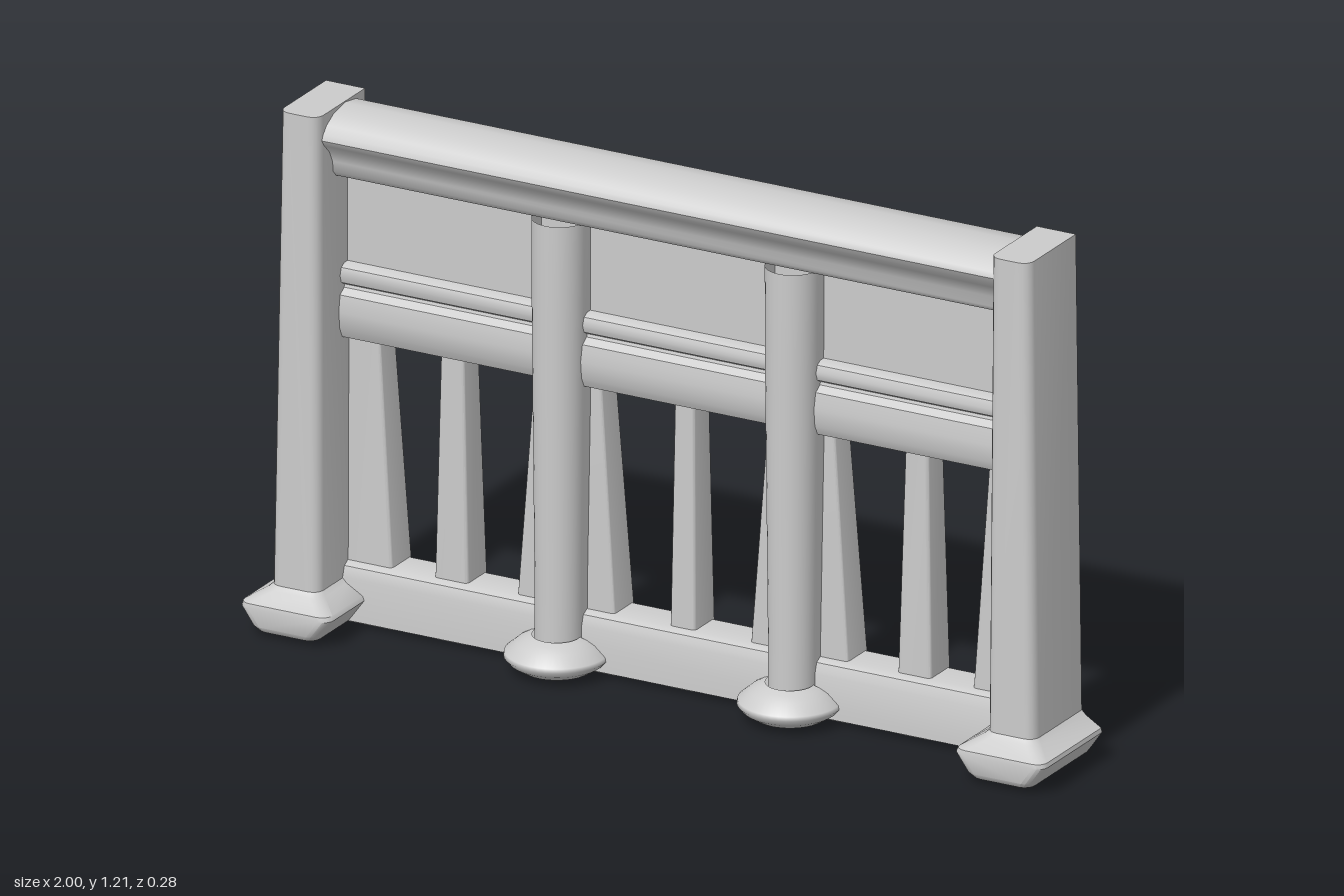
import * as THREE from 'three';
import { toCreasedNormals } from 'three/addons/utils/BufferGeometryUtils.js';

const material = new THREE.MeshStandardMaterial({ color: 0xcccccc, side: THREE.DoubleSide });

// Open skin through rows of [x, y, z] points
function skin(name, rows) {
  const n = rows[0].length, index = [];
  for (let i = 0; i < rows.length - 1; i++) {
    for (let j = 0; j < n - 1; j++) {
      const a = i * n + j, b = a + n;
      index.push(a, a + 1, b, a + 1, b + 1, b);
    }
  }
  const g = new THREE.BufferGeometry();
  g.setAttribute('position', new THREE.Float32BufferAttribute(rows.flat(2), 3));
  g.setIndex(index);
  const mesh = new THREE.Mesh(toCreasedNormals(g, 0.7), material);
  mesh.name = name;
  return mesh;
}

// Horizontal moulding: a [z, y] profile run along x
function moulding(name, profile, half) {
  return skin(name, [half, -half].map(x => profile.map(([z, y]) => [x, y, z])));
}

// U-shaped section, open at the back, with rounded front corners
function channel(y, x0, x1, front, back, r, innerBack = back) {
  const pts = [[x1, y, back]];
  for (let i = 0; i <= 4; i++) {
    const a = i * Math.PI / 8;
    pts.push([x1 - r + r * Math.cos(a), y, front - r + r * Math.sin(a)]);
  }
  for (let i = 0; i <= 4; i++) {
    const a = Math.PI / 2 + i * Math.PI / 8;
    pts.push([x0 + r + r * Math.cos(a), y, front - r + r * Math.sin(a)]);
  }
  pts.push([x0, y, innerBack]);
  return pts;
}

function createPost() {
  const post = new THREE.Group();
  post.name = 'endPost';
  // Tapered shaft, closed on top
  const top = channel(1.21, 0.835, 0.932, 0.08, -0.13, 0.025);
  post.add(skin('postShaft', [
    channel(0.08, 0.83, 0.95, 0.088, -0.125, 0.025),
    top,
  ]));
  const half = top.length / 2;
  post.add(skin('postCap', [top.slice(0, half), top.slice(half).reverse()]));
  // Flared foot, its inner flank stopping at the bottom rail
  post.add(skin('postFoot', [
    [0.108, 0.83, 0.95, 0.088],
    [0.098, 0.82, 0.96, 0.098],
    [0.075, 0.78, 0.998, 0.138],
    [0.065, 0.776, 1.0, 0.14],
    [0.025, 0.805, 0.972, 0.14],
    [0.012, 0.815, 0.962, 0.13],
    [0.01, 0.83, 0.945, 0.11],
  ].map(([y, a, b, f]) => channel(y, a, b, f, -0.125, 0.025, -0.03))));
  return post;
}

function createColumn() {
  const column = new THREE.Group();
  column.name = 'roundColumn';
  // Half-round shaft with straight sides running back
  column.add(skin('columnShaft', [[0.03, 0.054], [0.2, 0.054], [0.8, 0.06], [1.052, 0.061]].map(([y, r]) => {
    const row = [[r, y, -0.07]];
    for (let i = 0; i <= 16; i++) {
      const a = i * Math.PI / 16;
      row.push([r * Math.cos(a), y, r * Math.sin(a)]);
    }
    row.push([-r, y, -0.07]);
    return row;
  })));
  // Bulging base, open behind
  const profile = [[0.06, 0.005], [0.08, 0.009], [0.105, 0.025], [0.116, 0.038], [0.114, 0.048], [0.088, 0.07], [0.07, 0.08], [0.054, 0.086]];
  const base = new THREE.Mesh(new THREE.LatheGeometry(
    profile.map(p => new THREE.Vector2(...p)), 24, -Math.PI * 0.55, Math.PI * 1.1), material);
  base.name = 'columnBase';
  base.position.z = 0.012;
  column.add(base);
  return column;
}

// Tapering baluster, hollow at the back
function createBaluster(bottom, top) {
  return skin('baluster', [
    channel(0, bottom[0], bottom[1], -0.045, -0.135, 0.01),
    channel(0.71, top[0], top[1], -0.055, -0.12, 0.008),
  ]);
}

export function createModel() {
  const model = new THREE.Group();
  model.name = 'balustrade';

  // Rails and panel
  model.add(
    moulding('topRail', [[-0.135, 1.165], [-0.125, 1.18], [-0.09, 1.2], [-0.04, 1.208], [0.01, 1.198], [0.04, 1.182],
      [0.056, 1.165], [0.06, 1.152], [0.052, 1.138], [0.03, 1.118], [0.015, 1.09], [0.012, 1.065], [0, 1.052], [-0.085, 1.052]], 0.845),
    moulding('panel', [[-0.05, 1.06], [-0.05, 0.82]], 0.86),
    moulding('middleRail', [[-0.125, 0.837], [-0.035, 0.837], [-0.022, 0.83], [-0.016, 0.812], [-0.022, 0.795], [-0.036, 0.787],
      [-0.034, 0.78], [-0.016, 0.768], [-0.01, 0.73], [-0.014, 0.69], [-0.025, 0.668], [-0.12, 0.664]], 0.89),
    moulding('bottomRail', [[-0.125, 0.142], [-0.045, 0.142], [-0.03, 0.134], [-0.022, 0.11], [-0.02, 0.012]], 0.87),
  );

  // Balusters: one in the middle, the rest in mirrored pairs
  model.add(createBaluster([-0.034, 0.034], [-0.024, 0.024]));
  const pairs = [
    [[0.53, 0.62], [0.55, 0.605]],
    [[0.158, 0.422], [0.21, 0.37]],
    [[0.712, 0.93], [0.76, 0.9]],
  ];
  for (const [bottom, top] of pairs) {
    for (const s of [1, -1]) {
      const flip = ([a, b]) => (s > 0 ? [a, b] : [-b, -a]);
      model.add(createBaluster(flip(bottom), flip(top)));
    }
  }

  // Mirrored posts and columns
  for (const s of [1, -1]) {
    const post = createPost();
    post.scale.x = s;
    const column = createColumn();
    column.position.set(s * 0.29, 0, -0.02);
    model.add(post, column);
  }
  return model;
}
